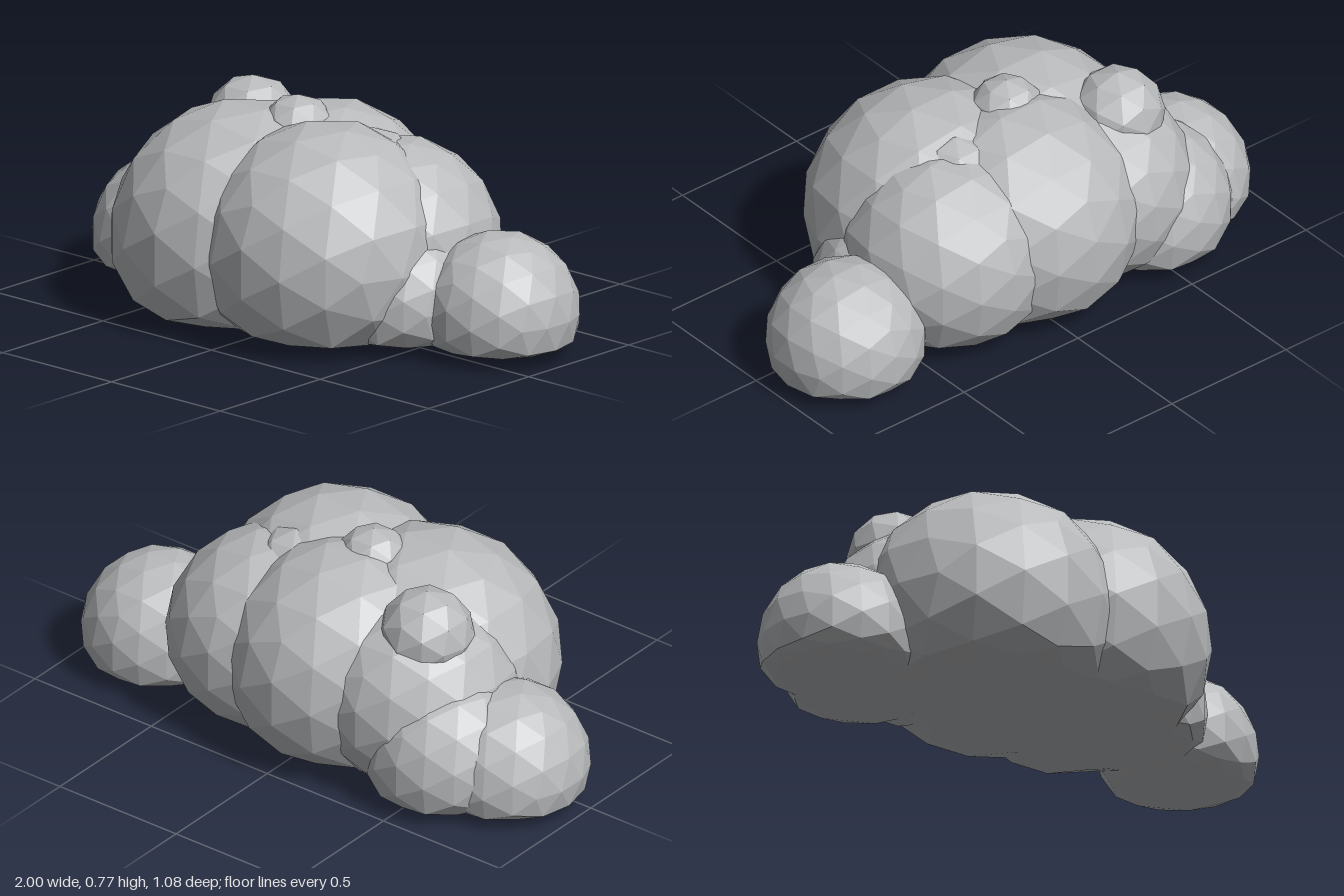
import * as THREE from 'three';

// Puffs of the cloud: name, centre x, y, z, radius, subdivision
const PUFFS = [
  ['frontPuffRight', -0.23, 0.28, 0.085, 0.46, 2],
  ['frontPuffLeft', 0.155, 0.305, 0.09, 0.44, 2],
  ['backPuffMiddle', -0.05, 0.315, -0.13, 0.42, 2],
  ['backPuffLeft', 0.265, 0.30, -0.125, 0.37, 2],
  ['backPuffRight', -0.36, 0.30, -0.13, 0.355, 2],
  ['sidePuffRight', -0.545, 0.17, -0.2, 0.295, 2],
  ['endPuffRight', -0.72, 0.14, -0.1, 0.285, 2],
  ['sidePuffLeft', 0.42, 0.17, -0.01, 0.27, 2],
  ['endPuffLeft', 0.73, 0.15, -0.15, 0.275, 2],
  ['topKnobRight', -0.435, 0.57, -0.18, 0.165, 1],
  ['topKnobMiddle', -0.08, 0.64, -0.02, 0.135, 1],
  ['topKnobLeft', 0.2, 0.55, -0.09, 0.15, 1],
];

// Underside: everything below BASE is squashed into a shallow belly
const BASE = 0.06;
const SQUASH = 0.25;

function puffGeometry(x, y, z, radius, detail) {
  const geometry = new THREE.IcosahedronGeometry(radius, detail);
  geometry.translate(x, y, z);
  const pos = geometry.attributes.position;
  for (let i = 0; i < pos.count; i++) {
    const h = pos.getY(i);
    if (h < BASE) pos.setY(i, BASE + (h - BASE) * SQUASH);
  }
  geometry.computeVertexNormals();
  return geometry;
}

export function createModel() {
  const cloud = new THREE.Group();
  cloud.name = 'cloud';
  const grey = new THREE.MeshStandardMaterial({ color: 0xb8babc, flatShading: true });
  grey.name = 'cloud grey';

  for (const [name, ...shape] of PUFFS) {
    const puff = new THREE.Mesh(puffGeometry(...shape), grey);
    puff.name = name;
    cloud.add(puff);
  }
  return cloud;
}
